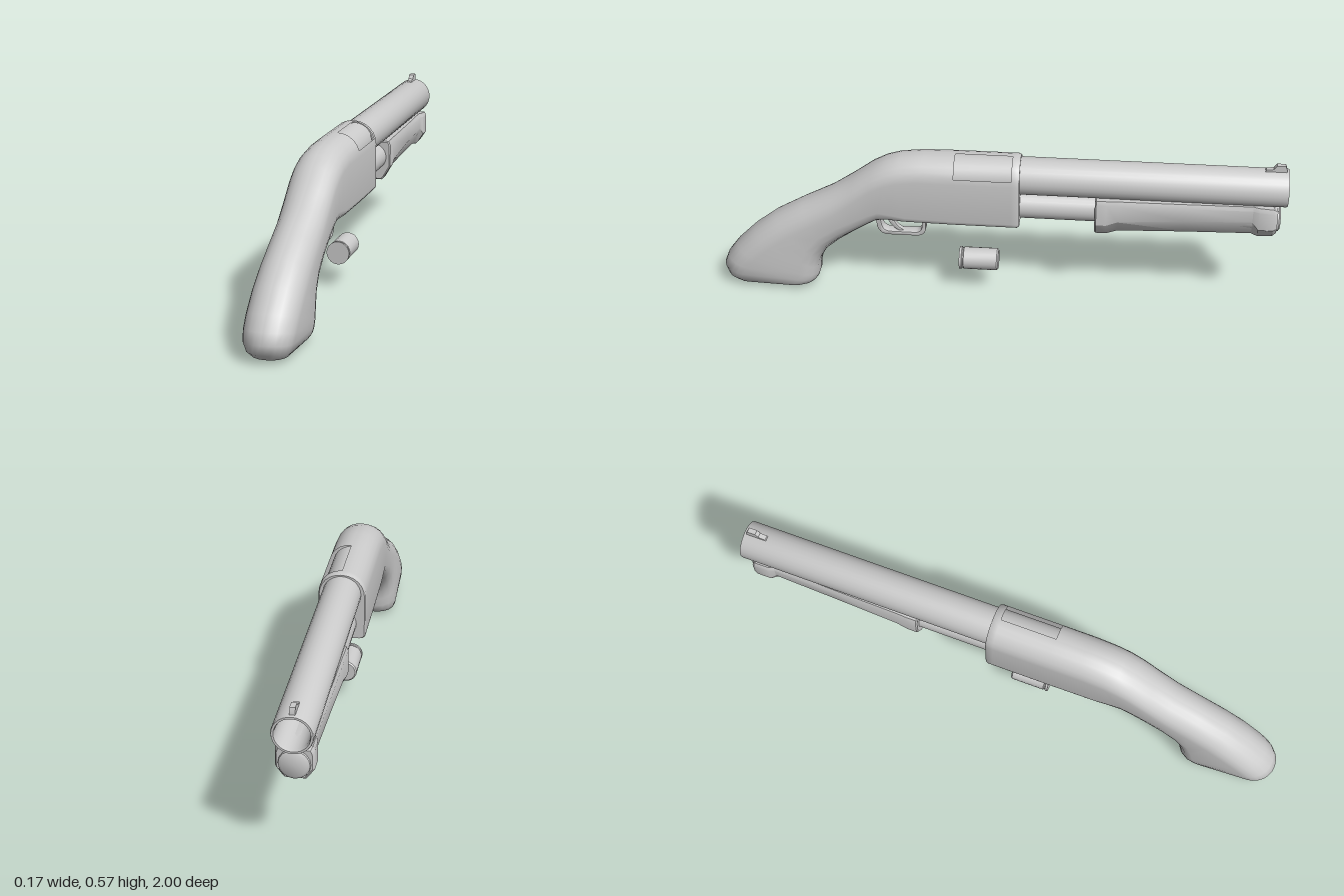
import * as THREE from 'three';
import { toCreasedNormals } from 'three/addons/utils/BufferGeometryUtils.js';

const material = new THREE.MeshStandardMaterial({ color: 0xcccccc, side: THREE.DoubleSide });

function add(group, name, geometry, crease = 0.7) {
  const mesh = new THREE.Mesh(toCreasedNormals(geometry, crease), material);
  mesh.name = name;
  group.add(mesh);
  return mesh;
}

// Skin a list of equal-length rings; skip(i, j) leaves a cell open
function loft(rings, skip = () => false) {
  const n = rings[0].length, index = [];
  const pos = rings.flat().flatMap(p => [p.x, p.y, p.z]);
  for (let i = 0; i < rings.length - 1; i++) {
    for (let j = 0; j < n; j++) {
      if (skip(i, j)) continue;
      const k = (j + 1) % n;
      const a = i * n + j, b = i * n + k, c = a + n, d = b + n;
      index.push(a, b, d, a, d, c);
    }
  }
  const last = (rings.length - 1) * n;
  for (let j = 1; j < n - 1; j++) {
    index.push(0, j + 1, j, last, last + j, last + j + 1);
  }
  const g = new THREE.BufferGeometry();
  g.setAttribute('position', new THREE.Float32BufferAttribute(pos, 3));
  g.setIndex(index);
  return g;
}

// Complete a half outline (bottom centre to top centre) with its mirror image
const mirrored = half => half.concat(
  half.slice(1, -1).reverse().map(p => new THREE.Vector3(-p.x, p.y, p.z)));

// Rounded section standing between a bottom and a top point in the z-y plane
function bodyRing([bz, by, tz, ty, w, rb, rt]) {
  const len = Math.hypot(tz - bz, ty - by);
  const at = (u, v) => new THREE.Vector3(u, by + (ty - by) * v / len, bz + (tz - bz) * v / len);
  const half = [at(0, 0)];
  for (let k = 0; k <= 4; k++) {
    const a = -Math.PI / 2 + k * Math.PI / 8;
    half.push(at(w - rb + rb * Math.cos(a), rb + rb * Math.sin(a)));
  }
  for (let k = 0; k <= 6; k++) {
    const a = k * Math.PI / 12;
    half.push(at(w - rt + rt * Math.cos(a), len - rt + rt * Math.sin(a)));
  }
  half.push(at(0, len));
  return mirrored(half);
}

// Turned part lying along z, from [radius, z] pairs
function turned(points, y, segments = 28) {
  const g = new THREE.LatheGeometry(points.map(p => new THREE.Vector2(...p)), segments);
  return g.rotateX(Math.PI / 2).translate(0, y, 0);
}

// Side-view shape (x = z of the model) given thickness across x
function sideExtrude(shape, width, bevel) {
  const g = new THREE.ExtrudeGeometry(shape, {
    depth: width - 2 * bevel, bevelEnabled: bevel > 0, bevelSize: bevel,
    bevelThickness: bevel, bevelSegments: 2, curveSegments: 10 });
  return g.translate(0, 0, bevel - width / 2).rotateY(-Math.PI / 2);
}

function roundedPath(path, z0, z1, y0, y1, r) {
  path.moveTo(z0, y1);
  path.lineTo(z0, y0 + r);
  path.quadraticCurveTo(z0, y0, z0 + r, y0);
  path.lineTo(z1 - r * 1.4, y0);
  path.quadraticCurveTo(z1 - r * 0.4, y0, z1 - r * 0.25, y0 + r);
  path.lineTo(z1, y1);
  path.closePath();
  return path;
}

export function createModel() {
  const group = new THREE.Group();

  // Receiver flowing into the bent grip: bottom z, y, top z, y, half width, radii
  const sections = [
    [-0.078, 0.314, -0.078, 0.556, 0.079, 0.018, 0.076],
    [-0.07, 0.31, -0.07, 0.56, 0.083, 0.02, 0.08],
    [-0.05, 0.31, -0.05, 0.56, 0.083, 0.02, 0.08],
    [0.15, 0.31, 0.15, 0.56, 0.083, 0.02, 0.08],
    [0.33, 0.31, 0.26, 0.557, 0.083, 0.025, 0.08],
    [0.39, 0.31, 0.34, 0.548, 0.083, 0.035, 0.08],
    [0.43, 0.3, 0.39, 0.533, 0.083, 0.05, 0.08],
    [0.47, 0.272, 0.44, 0.507, 0.082, 0.06, 0.079],
    [0.52, 0.237, 0.51, 0.456, 0.081, 0.065, 0.078],
    [0.57, 0.2, 0.59, 0.402, 0.081, 0.07, 0.078],
    [0.615, 0.16, 0.7, 0.345, 0.082, 0.07, 0.079],
    [0.638, 0.12, 0.8, 0.287, 0.084, 0.07, 0.081],
    [0.646, 0.085, 0.88, 0.225, 0.086, 0.07, 0.083],
    [0.648, 0.055, 0.95, 0.155, 0.086, 0.07, 0.083],
    [0.655, 0.034, 0.985, 0.108, 0.085, 0.07, 0.082],
    [0.668, 0.02, 1, 0.07, 0.081, 0.065, 0.078],
    [0.685, 0.013, 0.99, 0.035, 0.072, 0.06, 0.069],
    [0.71, 0.008, 0.965, 0.014, 0.058, 0.05, 0.055],
    [0.74, 0.006, 0.92, 0.002, 0.04, 0.035, 0.037],
  ];
  // Open cells: ejection port on the model's left, loading port underneath
  const port = (i, j) => i === 2 && ((j >= 7 && j <= 11) || j === 0 || j === 25);
  add(group, 'receiverAndGrip', loft(sections.map(bodyRing), port), 0.8);

  // Bolt seen in the ejection port, shell lifter in the loading port
  add(group, 'bolt', turned([[0, -0.065], [0.069, -0.065], [0.069, 0.16], [0, 0.16]], 0.483));
  add(group, 'lifter', new THREE.BoxGeometry(0.1, 0.012, 0.2).rotateX(0.12).translate(0, 0.35, 0.06));

  // Barrel with open bore
  add(group, 'barrel', turned([
    [0.055, -0.4], [0.055, -0.99], [0.058, -1], [0.065, -1], [0.067, -0.995],
    [0.067, -0.06], [0, -0.06]], 0.484));
  add(group, 'boreEnd', new THREE.CircleGeometry(0.056, 28).translate(0, 0.484, -0.41));

  // Front sight on its ramp
  const sight = new THREE.Shape();
  [[-0.99, 0.545], [-0.915, 0.545], [-0.92, 0.556], [-0.945, 0.56], [-0.955, 0.574], [-0.985, 0.574], [-0.99, 0.56]]
    .forEach(([z, y], k) => (k ? sight.lineTo(z, y) : sight.moveTo(z, y)));
  add(group, 'frontSight', sideExtrude(sight, 0.018, 0));

  // Magazine tube and its end cap
  add(group, 'magazineTube', turned([[0, -0.96], [0.051, -0.96], [0.051, -0.06], [0, -0.06]], 0.37));
  add(group, 'magazineCap', turned([
    [0, -0.982], [0.04, -0.982], [0.05, -0.976], [0.053, -0.965], [0.053, -0.94], [0, -0.94]], 0.365, 16));

  // Pump handle: z, bottom y, bottom half width, flank y, flank half width, top y
  const pump = [
    [-0.97, 0.315, 0.028, 0.35, 0.056, 0.415],
    [-0.957, 0.306, 0.033, 0.345, 0.062, 0.426],
    [-0.905, 0.304, 0.033, 0.345, 0.062, 0.43],
    [-0.885, 0.308, 0.024, 0.37, 0.054, 0.43],
    [-0.65, 0.3, 0.022, 0.365, 0.06, 0.43],
    [-0.42, 0.292, 0.024, 0.35, 0.064, 0.43],
    [-0.38, 0.284, 0.034, 0.335, 0.066, 0.43],
    [-0.345, 0.284, 0.034, 0.335, 0.066, 0.43],
    [-0.34, 0.288, 0.032, 0.337, 0.063, 0.426],
  ].map(([z, yb, wb, ym, w, yt]) => mirrored(
    [[0, yb], [wb, yb], [wb + 0.006, yb + 0.006], [w, ym], [w, yt - 0.015], [w - 0.006, yt], [0, yt]]
      .map(([x, y]) => new THREE.Vector3(x, y, z))));
  add(group, 'pumpHandle', loft(pump), 0.5);

  // Trigger guard loop and curved trigger
  const guard = roundedPath(new THREE.Shape(), 0.26, 0.44, 0.226, 0.315, 0.035);
  guard.holes.push(roundedPath(new THREE.Path(), 0.27, 0.426, 0.236, 0.312, 0.03));
  add(group, 'triggerGuard', sideExtrude(guard, 0.04, 0.002));

  const trigger = new THREE.Shape();
  trigger.moveTo(0.385, 0.315);
  trigger.quadraticCurveTo(0.375, 0.255, 0.342, 0.24);
  trigger.lineTo(0.346, 0.234);
  trigger.quadraticCurveTo(0.39, 0.25, 0.405, 0.315);
  add(group, 'trigger', sideExtrude(trigger, 0.02, 0.002));

  // Loose shell below the receiver
  add(group, 'shell', turned([
    [0, 0], [0.035, 0], [0.04, 0.005], [0.04, 0.124], [0.037, 0.126],
    [0.037, 0.13], [0.041, 0.132], [0.041, 0.14], [0, 0.14]], 0.128, 20));

  return group;
}
